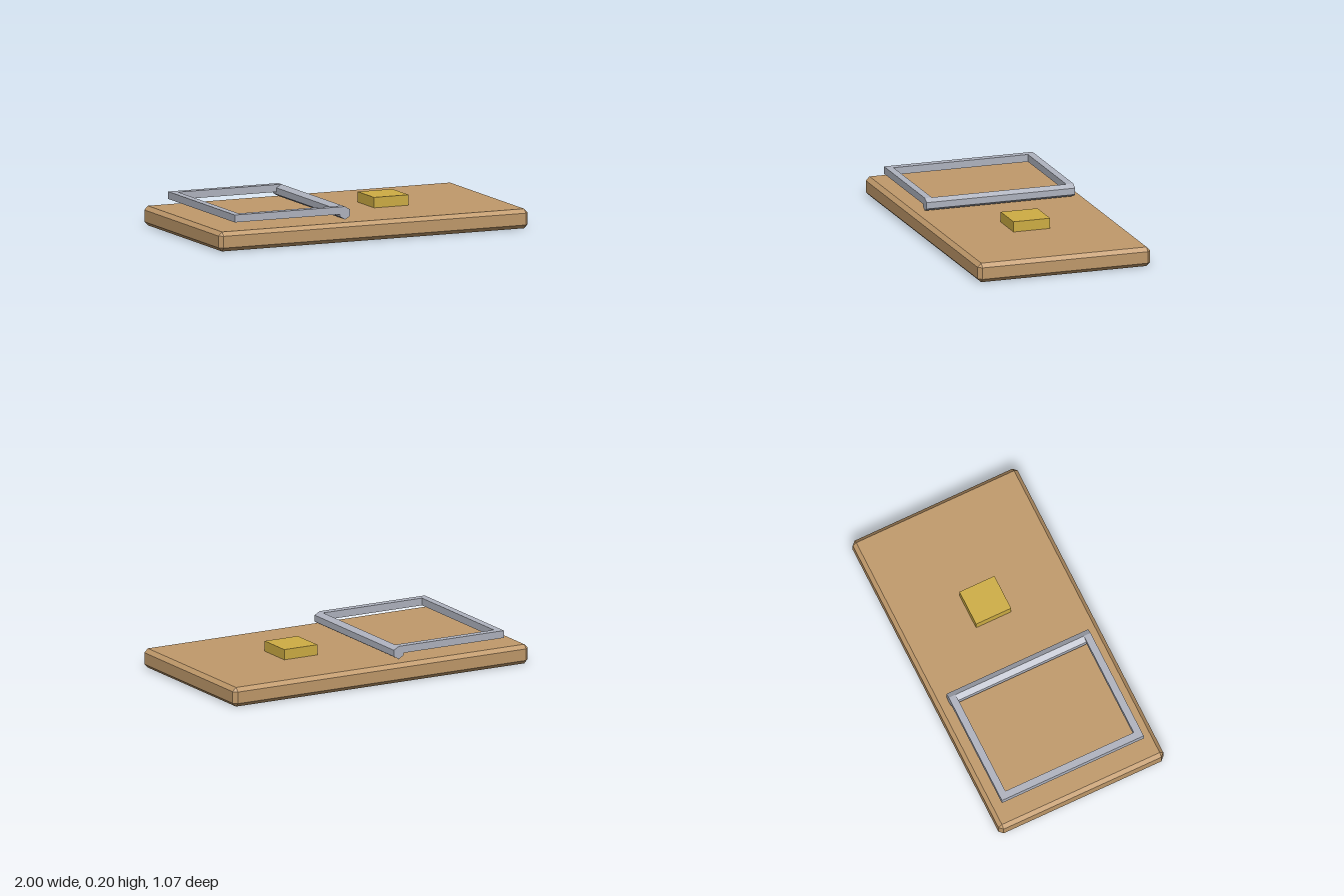
import * as THREE from 'three';
import { ConvexGeometry } from 'three/addons/geometries/ConvexGeometry.js';

// Box with every edge and corner cut off by c
function chamferedBox(w, h, d, c) {
  const points = [];
  for (const sx of [-1, 1]) for (const sy of [-1, 1]) for (const sz of [-1, 1]) {
    const x = w / 2, y = h / 2, z = d / 2;
    points.push(
      new THREE.Vector3(sx * x, sy * (y - c), sz * (z - c)),
      new THREE.Vector3(sx * (x - c), sy * y, sz * (z - c)),
      new THREE.Vector3(sx * (x - c), sy * (y - c), sz * z)
    );
  }
  return new ConvexGeometry(points);
}

export function createModel() {
  const model = new THREE.Group();
  const material = (name, color) => {
    const m = new THREE.MeshStandardMaterial({ color, flatShading: true });
    m.name = name;
    return m;
  };
  const wood = material('wood', 0xc19a6b);
  const steel = material('steel', 0xb0b4c0);
  const brass = material('brass', 0xcfae44);

  const add = (parent, name, geometry, mat, x, y, z) => {
    const mesh = new THREE.Mesh(geometry, mat);
    mesh.name = name;
    mesh.position.set(x, y, z);
    parent.add(mesh);
    return mesh;
  };

  // Wooden base
  add(model, 'board', chamferedBox(2, 0.116, 1.074, 0.023), wood, 0, 0.058, 0);

  // Bait pedal
  add(model, 'pedal', new THREE.BoxGeometry(0.224, 0.062, 0.228), brass, 0.305, 0.147, 0);

  // Snap frame: three square bars and a six-sided hinge rod
  const frame = new THREE.Group();
  frame.name = 'snapFrame';
  model.add(frame);
  const bar = 0.044, barY = 0.179, left = -0.87, hingeX = -0.157, half = 0.462;
  for (const side of [-1, 1]) {
    add(frame, side > 0 ? 'frontArm' : 'backArm',
      new THREE.BoxGeometry(hingeX - left, bar, bar), steel,
      (hingeX + left) / 2, barY, side * (half - bar / 2));
  }
  add(frame, 'crossBar', new THREE.BoxGeometry(bar, bar, 2 * (half - bar)), steel,
    left + bar / 2, barY, 0);
  const rod = new THREE.CylinderGeometry(0.0385, 0.0385, 2 * half, 6).rotateX(Math.PI / 2);
  add(frame, 'hingeRod', rod, steel, hingeX, 0.1625, 0);

  return model;
}
